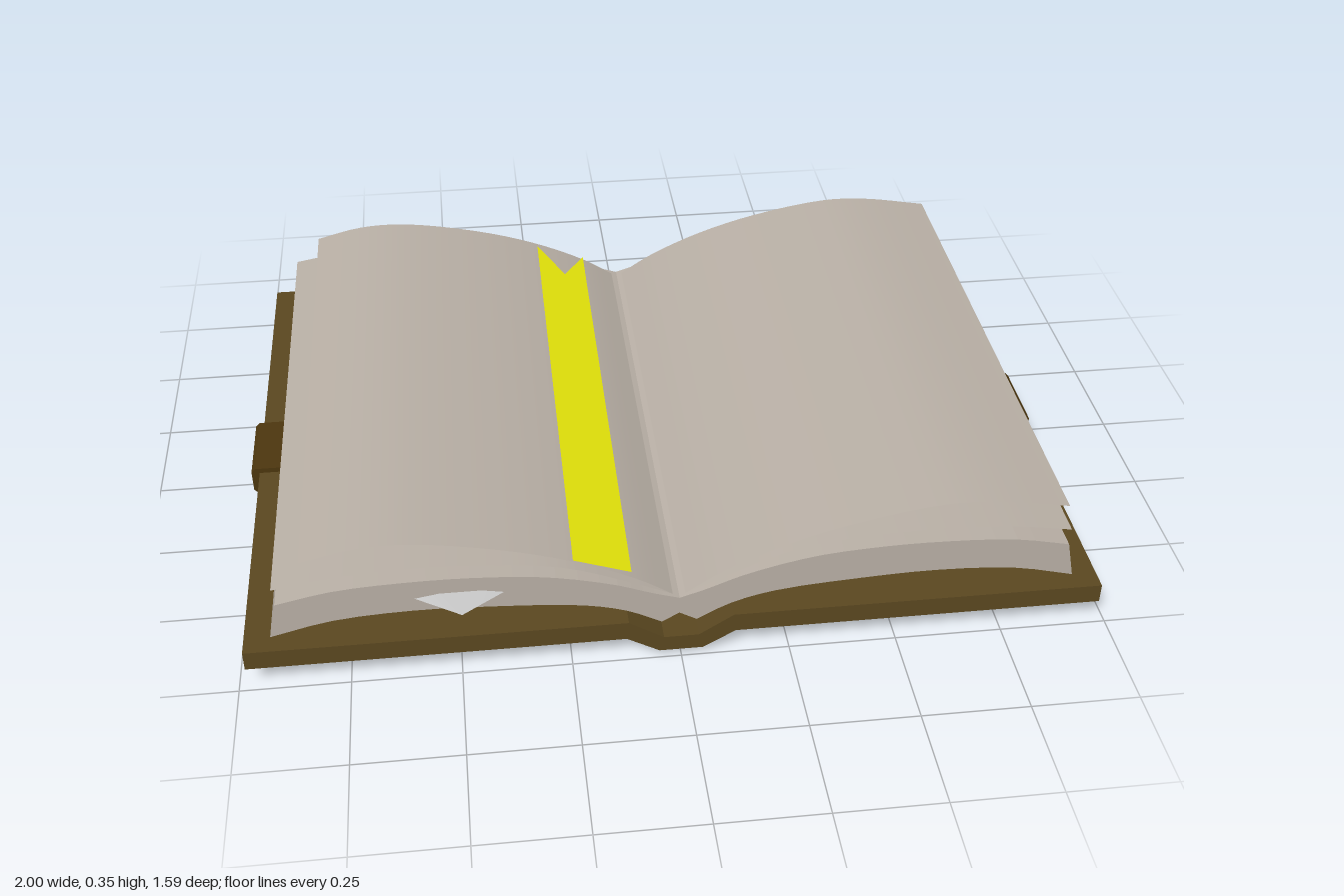
import * as THREE from 'three';

const mat = (color, side = THREE.FrontSide) => new THREE.MeshStandardMaterial({ color, side, roughness: 0.9 });
const cover = mat(0x5a4720);
const leather = mat(0x4c360e);
const paper = mat(0xb8afa5);
const sheetPaper = mat(0xb8afa5, THREE.DoubleSide);
const slipPaper = mat(0xcccccc, THREE.DoubleSide);
const ribbonCloth = mat(0xe6e60a, THREE.DoubleSide);

const add = (group, name, geometry, material) => {
  const mesh = new THREE.Mesh(geometry, material);
  mesh.name = name;
  group.add(mesh);
  return mesh;
};

const spline = (pts, n) =>
  new THREE.CatmullRomCurve3(pts.map(([x, y]) => new THREE.Vector3(x, y, 0))).getPoints(n).map(p => [p.x, p.y]);

// Closed, left-right symmetric front profile (upper and lower lines run from centre to edge), pushed through z
function symmetricSlab(upper, lower, z0, z1) {
  const half = [...lower, ...[...upper].reverse()];
  const mirrored = half.map(([x, y]) => [-x, y]).reverse();
  const pts = [...half, ...mirrored].map(p => new THREE.Vector2(...p));
  const unique = pts.filter((p, i) => p.distanceTo(pts[(i + 1) % pts.length]) > 1e-4);
  const g = new THREE.ExtrudeGeometry(new THREE.Shape(unique), { depth: z1 - z0, bevelEnabled: false });
  return g.translate(0, 0, z0);
}

// Thin curved sheet following a front profile
function curvedSheet(profile, z0, z1, n = 24) {
  const pts = spline(profile, n);
  const g = new THREE.PlaneGeometry(1, 1, n, 1);
  const pos = g.attributes.position;
  for (let i = 0; i < pos.count; i++) {
    const [x, y] = pts[i % (n + 1)];
    pos.setXYZ(i, x, y, i <= n ? z0 : z1);
  }
  g.computeVertexNormals();
  return g;
}

// Flat outline in (x, z), lifted by a height rule
function liftedOutline(outline, height) {
  const g = new THREE.ShapeGeometry(new THREE.Shape(outline.map(([x, z]) => new THREE.Vector2(x, -z))));
  const pos = g.attributes.position;
  for (let i = 0; i < pos.count; i++) {
    const x = pos.getX(i), z = -pos.getY(i);
    pos.setXYZ(i, x, height(x, z), z);
  }
  g.computeVertexNormals();
  return g;
}

export function createModel() {
  const book = new THREE.Group();
  book.name = 'openBook';

  // Cover boards with sunken spine
  add(book, 'cover', symmetricSlab(
    [[0.04, 0.06], [0.12, 0.112], [0.98, 0.112]],
    [[0.05, 0.02], [0.125, 0.064], [0.98, 0.064]], -0.755, 0.745), cover);

  // Strap under the cover, hooked over both fore edges
  add(book, 'strap', symmetricSlab(
    [[0.05, 0.024], [0.125, 0.068], [0.975, 0.068], [0.975, 0.11], [0.925, 0.11], [0.925, 0.125], [0.99, 0.125], [1, 0.115]],
    [[0.05, 0.004], [0.13, 0.05], [0.99, 0.05], [1, 0.06]], -0.1, 0.095), leather);

  // Arched page block
  const top = spline([[0, 0.14], [0.06, 0.16], [0.15, 0.195], [0.3, 0.232], [0.45, 0.246], [0.6, 0.248], [0.77, 0.238], [0.9, 0.211]], 22);
  const bottom = spline([[0.04, 0.071], [0.12, 0.113], [0.22, 0.14], [0.42, 0.158], [0.6, 0.164], [0.78, 0.152], [0.92, 0.118]], 18);
  add(book, 'pageBlock', symmetricSlab(top, [[0, 0.095], ...bottom], -0.71, 0.705), paper);

  // Two lifted leaves on each side
  for (const [s, side] of [[1, 'left'], [-1, 'right']]) {
    const edge = s > 0 ? 0.89 : 0.838;
    const upper = [[0, 0.135], [0.1, 0.2], [0.24, 0.264], [0.4, 0.313], [0.6, 0.348], [0.72, 0.345], [edge, 0.317]];
    const lower = [[0, 0.138], [0.1, 0.184], [0.27, 0.25], [0.48, 0.275], [0.62, 0.278], [0.77, 0.268], [0.905, 0.246]];
    [upper, lower].forEach((profile, i) => {
      const pts = profile.map(([x, y]) => [s * x, y]);
      if (s < 0) pts.reverse();
      add(book, `${side}${i ? 'Lower' : 'Upper'}Leaf`, curvedSheet(pts, -0.695, 0.695), sheetPaper);
    });
  }

  // Ribbon with notched end
  add(book, 'ribbon', liftedOutline(
    [[-0.24, 0.71], [-0.11, 0.71], [-0.1, -0.655], [-0.16, -0.535], [-0.228, -0.655]],
    x => 0.28 - (x + 0.24) * 0.36), ribbonCloth);

  // Paper slips poking out of the block
  add(book, 'frontSlip', liftedOutline(
    [[-0.6, 0.7], [-0.6, 0.6], [-0.39, 0.6], [-0.39, 0.7], [-0.49, 0.79]],
    (x, z) => z > 0.75 ? 0.217 : 0.198), slipPaper);
  add(book, 'backSlip', liftedOutline(
    [[0.36, -0.6], [0.36, -0.705], [0.33, -0.8], [0.42, -0.8], [0.52, -0.8], [0.6, -0.8], [0.58, -0.705], [0.58, -0.6]],
    x => 0.212 - 1.2 * (x - 0.465) ** 2), slipPaper);

  return book;
}
